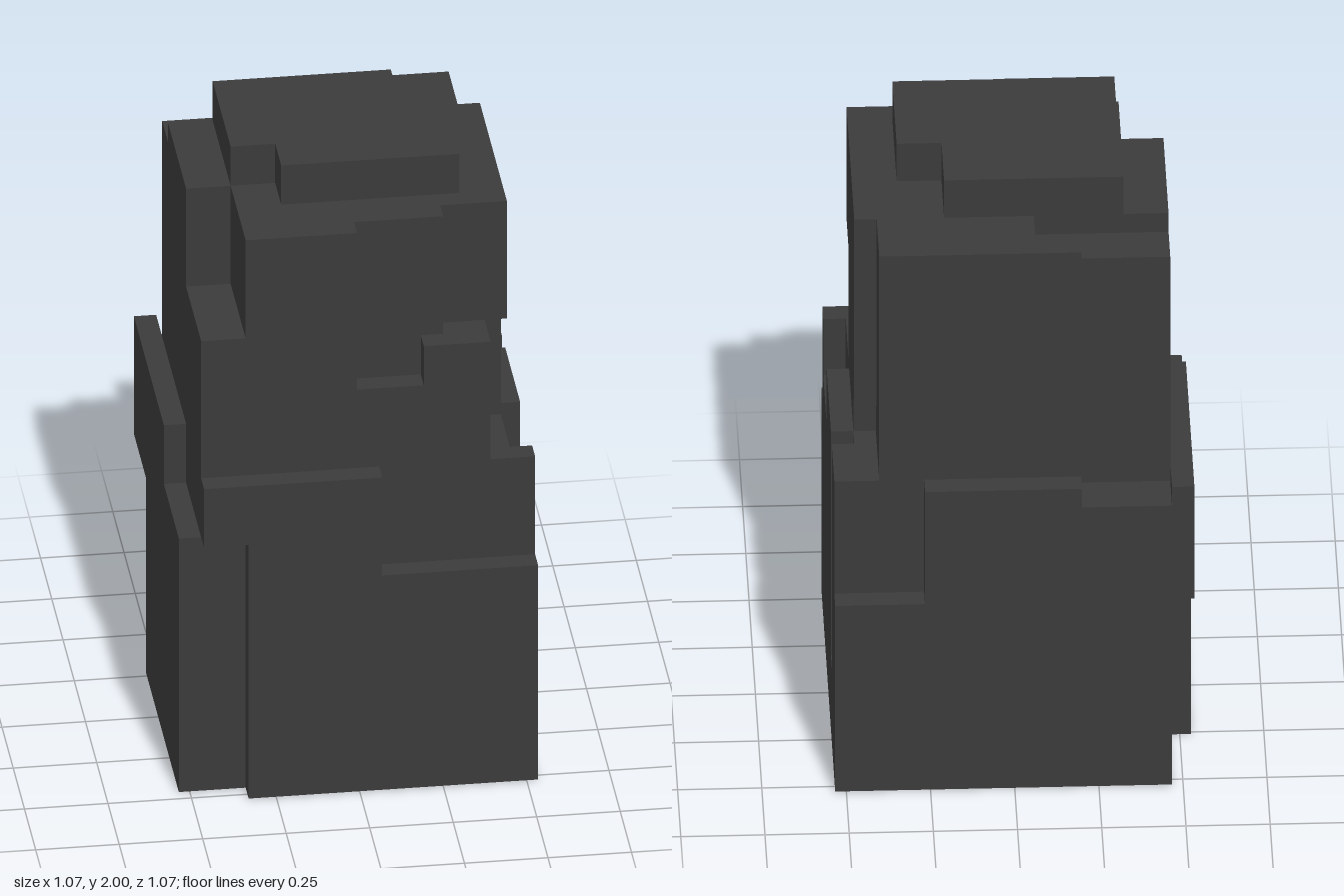
import * as THREE from 'three';
import { mergeGeometries } from 'three/addons/utils/BufferGeometryUtils.js';

const U = 1 / 15;    // one voxel
const FOOT = 0.06;   // thickness of the underside plate, in voxels

// Block from x0..x1, y0..y1, z0..z1 in voxels
function block([x0, x1, y0, y1, z0, z1]) {
  const b = y0 || FOOT;
  return new THREE.BoxGeometry((x1 - x0) * U, (y1 - b) * U, (z1 - z0) * U)
    .translate((x0 + x1) / 2 * U, (b + y1) / 2 * U, (z0 + z1) / 2 * U);
}

// Slab with an outline of [x, z] corners in voxels
function slab(outline, y0, y1) {
  const shape = new THREE.Shape(outline.map(([x, z]) => new THREE.Vector2(x * U, -z * U)));
  return new THREE.ExtrudeGeometry(shape, { depth: (y1 - y0) * U, bevelEnabled: false })
    .rotateX(-Math.PI / 2).translate(0, y0 * U, 0);
}

export function createModel() {
  const stone = new THREE.MeshStandardMaterial({ color: 0x3b3b3b });
  stone.name = 'darkStone';
  const earth = new THREE.MeshStandardMaterial({ color: 0x62452a });
  earth.name = 'brownEarth';

  const group = new THREE.Group();
  group.name = 'steppedRock';
  const add = (name, geometry, material = stone) => {
    const mesh = new THREE.Mesh(geometry, material);
    mesh.name = name;
    group.add(mesh);
  };
  const addBlocks = (name, list) => add(name, mergeGeometries(list.map(block)));

  // Lower tier
  addBlocks('baseCore', [
    [-7, 7, 0, 16, -6, 7],
  ]);
  addBlocks('baseBack', [
    [-7, -3, 0, 15, -8, -6],
    [-3, 4, 0, 16, -8, -7],
    [4, 8, 0, 10, -8, -7],
    [-3, 7, 0, 16, -7, -6],
  ]);
  addBlocks('baseFront', [
    [-7, -5, 13, 16, 7, 8],
    [-5, 1, 0, 16, 7, 8],
    [1, 8, 0, 11, 7, 8],
  ]);
  addBlocks('baseLeftSide', [
    [7, 8, 0, 16, -7, -4],
    [7, 8, 0, 4, -4, -3],     // bottom of the groove
    [7, 8, 0, 16, -3, 2],
    [7, 8, 0, 13, 2, 6],
    [7, 8, 0, 16, 6, 7],
  ]);
  addBlocks('baseRightSide', [
    [-8, -7, 10, 16, -8, -4], // overhang
    [-8, -7, 0, 16, -4, 2],
    [-8, -7, 0, 13, 2, 7],
  ]);

  // Middle tier
  add('middleCore', slab([
    [-7, -4], [-1, -4], [-1, -6], [-3, -6], [-3, -7], [6, -7], [6, 5],
    [4, 5], [4, 6], [0, 6], [0, 7], [-5, 7], [-5, 2], [-7, 2],
  ], 16, 28));
  addBlocks('middleLedges', [
    [-7, -5, 16, 23, 2, 7],
    [-7, -1, 16, 27, -6, -4],
    [0, 3, 16, 20, 6, 7],
    [3, 6, 16, 22, 6, 7],
    [4, 6, 16, 22, 5, 6],
  ]);
  addBlocks('middleLeftSide', [
    [6, 7, 18, 28, -4, -3],
    [6, 7, 16, 28, -3, 3],
    [6, 7, 22, 28, 3, 5],
  ]);

  // Cap with two notched corners
  add('cap', slab([
    [-5, -4], [3, -4], [3, -1], [5, -1], [5, 4], [-3, 4], [-3, 2], [-5, 2],
  ], 28, 30));

  // Brown patch on the underside
  add('undersidePatch', slab([
    [-6, -6], [7, -6], [7, 6], [-7, 6], [-7, -4], [-6, -4],
  ], 0, FOOT), earth);

  return group;
}
